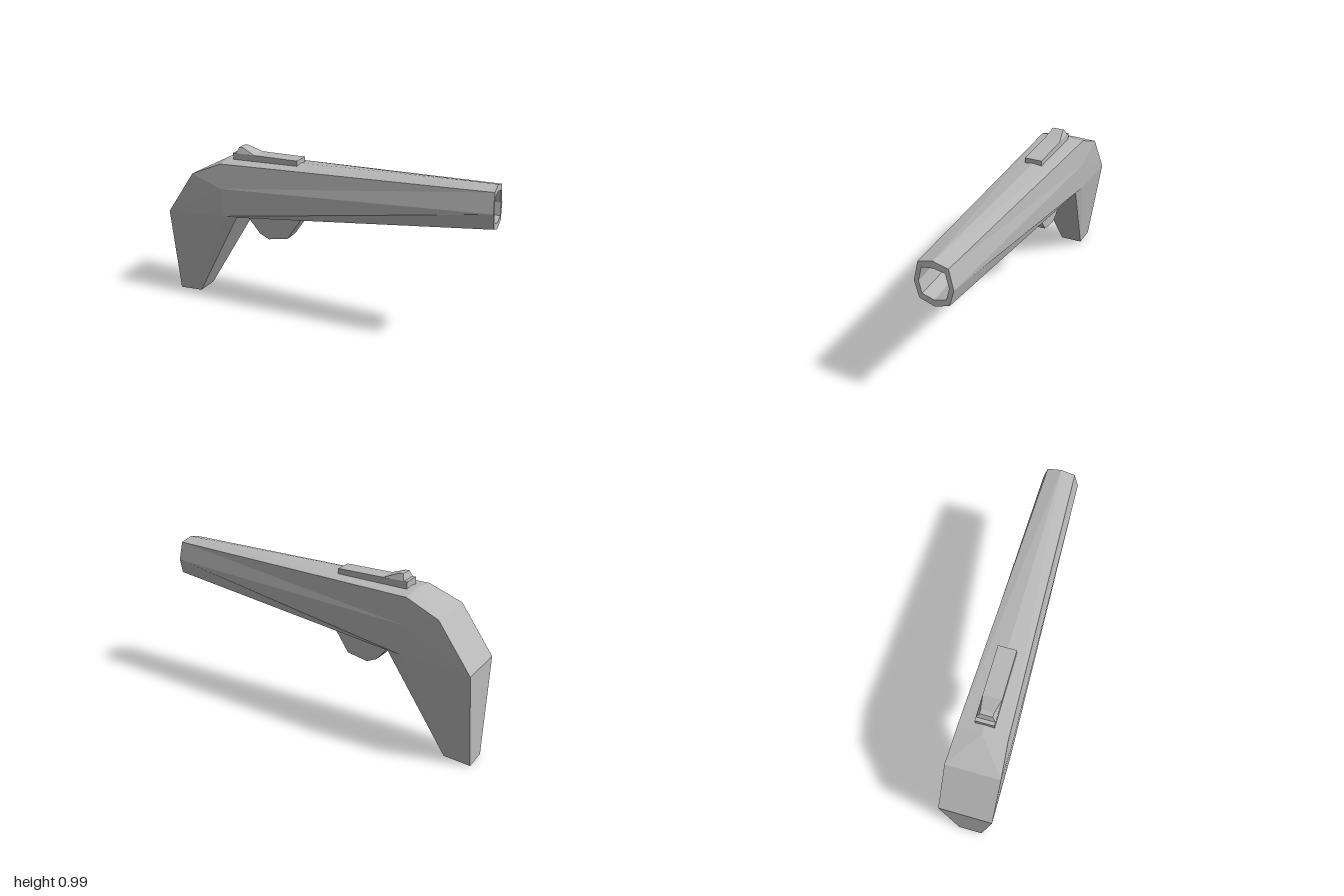
import * as THREE from 'three';
import { ConvexGeometry } from 'three/addons/geometries/ConvexGeometry.js';

const grey = new THREE.MeshStandardMaterial({ color: 0xb8b8b8, flatShading: true });
grey.name = 'plain grey';

// Fans each +z polygon into triangles and adds its mirror image across z = 0
function mirroredFaces(polygons) {
  const pos = [];
  for (const poly of polygons) {
    for (let i = 1; i < poly.length - 1; i++) {
      const tri = [poly[0], poly[i], poly[i + 1]];
      for (const [x, y, z] of tri) pos.push(x, y, z);
      for (const [x, y, z] of tri.reverse()) pos.push(x, y, -z);
    }
  }
  const geo = new THREE.BufferGeometry();
  geo.setAttribute('position', new THREE.Float32BufferAttribute(pos, 3));
  geo.computeVertexNormals();
  return geo;
}

const centre = ([x, y]) => [x, y, 0];

// Half rings run from the top centre down the +z side to the bottom centre
const muzzlePoint = ([y, z]) => [0.98 + (0.955 - y) * 0.065, y, z];
const muzzle = [[0.955, 0], [0.935, 0.08], [0.827, 0.105], [0.737, 0.08], [0.712, 0]].map(muzzlePoint);
const bore = [[0.917, 0], [0.907, 0.062], [0.832, 0.08], [0.765, 0.064], [0.748, 0]].map(muzzlePoint);
const boreEnd = bore.map(([x, y, z]) => [x - 0.3, y, z]);

function bodyGeometry() {
  const [T1, U1, S1, L1, B1] = muzzle;
  const T2 = [-0.61, 0.92, 0], U2 = [-0.605, 0.903, 0.135];
  const S2 = [-0.6, 0.755, 0.15], L2 = [-0.6, 0.583, 0.148];
  const crotch = [-0.51, 0.584, 0.135];
  const shoulder = [-0.795, 0.825, 0.15], heel = [-0.985, 0.56, 0.15];
  const backFoot = [-1, 0, 0.07], frontFoot = [-0.845, 0.01, 0.07];
  return mirroredFaces([
    // Barrel
    [T1, T2, U2, U1],
    [U1, U2, S2, S1],
    [S1, S2, L2, crotch, L1],
    [L1, crotch, centre(crotch), B1],
    // Rear bend
    [T2, centre(shoulder), shoulder, U2],
    [U2, shoulder, S2],
    [S2, shoulder, heel, L2],
    [centre(shoulder), centre(heel), heel, shoulder],
    // Grip
    [L2, heel, backFoot, frontFoot],
    [L2, frontFoot, crotch],
    [crotch, frontFoot, centre(frontFoot), centre(crotch)],
    [centre(heel), centre(backFoot), backFoot, heel],
    [frontFoot, backFoot, centre(backFoot), centre(frontFoot)],
  ]);
}

// Quads joining two half rings
const bridge = (a, b) => a.slice(1).map((p, i) => [a[i], p, b[i + 1], b[i]]);

export function createModel() {
  const group = new THREE.Group();
  group.name = 'model';
  const add = (name, geo) => {
    const mesh = new THREE.Mesh(geo, grey);
    mesh.name = name;
    group.add(mesh);
    return mesh;
  };

  add('barrelAndGrip', bodyGeometry());
  add('muzzleRim', mirroredFaces(bridge(muzzle, bore)));
  add('bore', mirroredFaces([...bridge(bore, boreEnd), boreEnd]));

  // Sight rail lying on the barrel
  add('sightRail', new THREE.BoxGeometry(0.42, 0.06, 0.104)).position.set(-0.355, 0.924, 0);

  // Rear sight: narrow crest with a ramp falling forward
  const sight = [];
  for (const [x, y, z] of [[-0.545, 0.953, 0.052], [-0.532, 0.988, 0.035],
    [-0.51, 0.988, 0.035], [-0.42, 0.953, 0.052]]) {
    sight.push(new THREE.Vector3(x, y, z), new THREE.Vector3(x, y, -z));
  }
  add('rearSight', new ConvexGeometry(sight));

  // Solid trigger block under the barrel
  const outline = [[-0.5, 0.59], [-0.4, 0.472], [-0.34, 0.445], [-0.215, 0.468], [-0.115, 0.615], [-0.13, 0.65], [-0.48, 0.63]];
  const trigger = new THREE.ExtrudeGeometry(
    new THREE.Shape(outline.map(([x, y]) => new THREE.Vector2(x, y))),
    { depth: 0.106, bevelEnabled: false });
  add('trigger', trigger).position.z = -0.052;

  return group;
}
